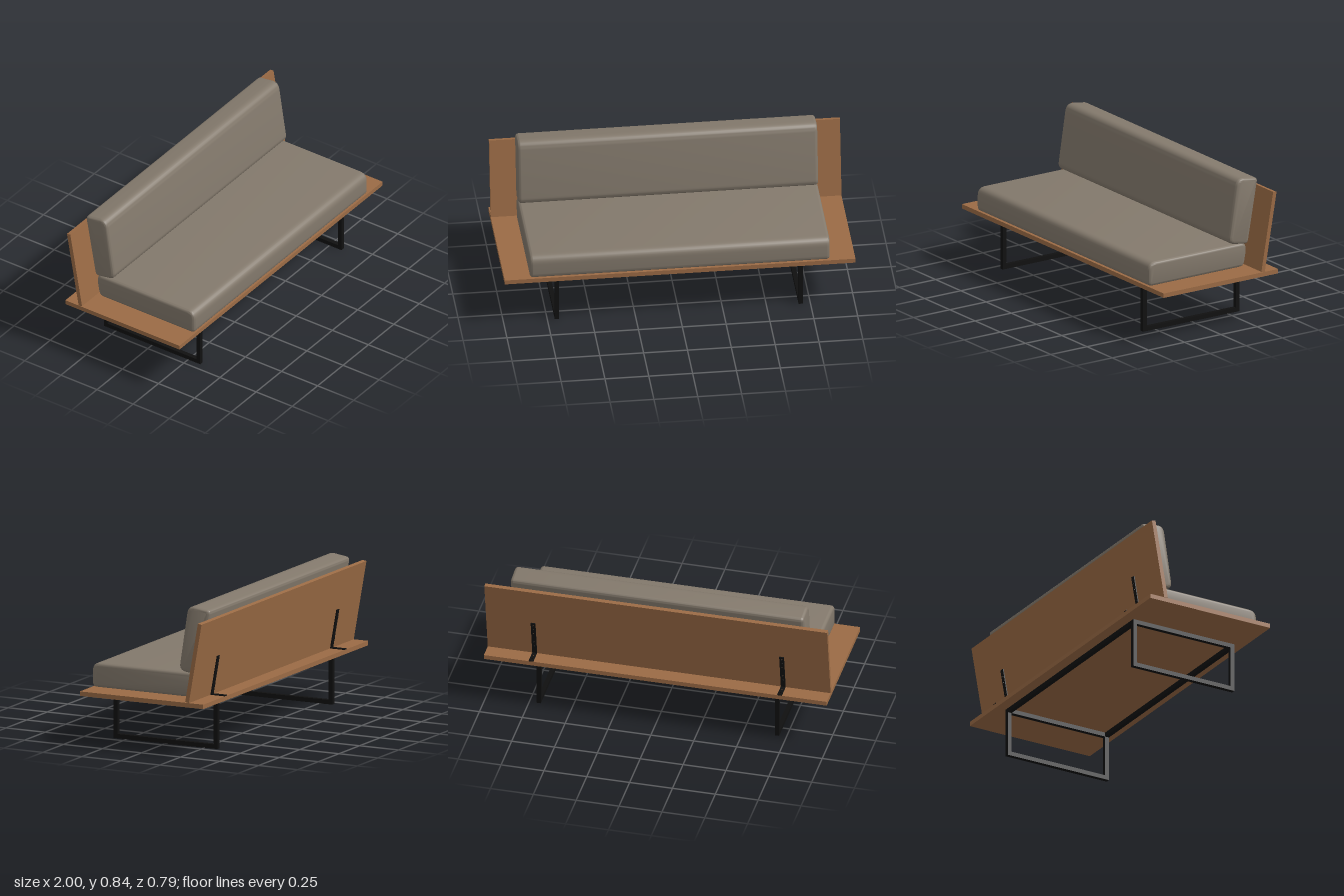
import * as THREE from 'three';
import { toCreasedNormals } from 'three/addons/utils/BufferGeometryUtils.js';

const material = (name, color) => {
  const m = new THREE.MeshStandardMaterial({ color });
  m.name = name;
  return m;
};

function add(parent, name, geometry, mat, x = 0, y = 0, z = 0) {
  const mesh = new THREE.Mesh(geometry, mat);
  mesh.name = name;
  mesh.position.set(x, y, z);
  parent.add(mesh);
  return mesh;
}

const box = (w, h, d) => new THREE.BoxGeometry(w, h, d);

// Closed shape from corners [x, y, radius], each corner rounded off
function roundedShape(corners) {
  const shape = new THREE.Shape();
  const n = corners.length;
  const points = corners.map(([x, y]) => new THREE.Vector2(x, y));
  const toward = (a, b, r) => a.clone().add(b.clone().sub(a).setLength(r));
  points.forEach((p, i) => {
    const r = corners[i][2];
    const start = toward(p, points[(i + n - 1) % n], r);
    const end = toward(p, points[(i + 1) % n], r);
    if (i === 0) shape.moveTo(start.x, start.y);
    else shape.lineTo(start.x, start.y);
    shape.quadraticCurveTo(p.x, p.y, end.x, end.y);
  });
  shape.closePath();
  return shape;
}

// Cushion: side profile in (z, y) swept across x with soft ends
function cushionGeometry(corners, width) {
  const bevel = 0.018;
  const geo = new THREE.ExtrudeGeometry(roundedShape(corners), {
    depth: width - 2 * bevel, curveSegments: 8,
    bevelEnabled: true, bevelThickness: bevel, bevelSize: bevel, bevelOffset: -bevel, bevelSegments: 5,
  });
  geo.translate(0, 0, bevel - width / 2);
  geo.rotateY(-Math.PI / 2);
  return toCreasedNormals(geo, 0.7);
}

// Flat steel strip standing on y = 0, with screw holes
function stripGeometry(width, length, thickness, holes) {
  const shape = new THREE.Shape();
  shape.moveTo(-width / 2, 0);
  shape.lineTo(width / 2, 0);
  shape.lineTo(width / 2, length);
  shape.lineTo(-width / 2, length);
  shape.closePath();
  for (const y of holes) {
    const hole = new THREE.Path();
    hole.absarc(0, y, 0.005, 0, Math.PI * 2, true);
    shape.holes.push(hole);
  }
  return new THREE.ExtrudeGeometry(shape, { depth: thickness, bevelEnabled: false, curveSegments: 6 });
}

export function createModel() {
  const wood = material('wood', 0x9b6b45);
  const fabric = material('greyBrownFabric', 0x83796c);
  const steel = material('blackSteel', 0x101010);

  const model = new THREE.Group();
  model.name = 'benchSofa';

  // Seat board
  add(model, 'seatBoard', box(2, 0.026, 0.79), wood, 0, 0.304, 0);

  // Leaning back, pivoting on the lower rear edge of the board
  const back = new THREE.Group();
  back.name = 'backrest';
  back.position.set(0, 0.317, -0.303);
  back.rotation.x = -THREE.MathUtils.degToRad(10);
  model.add(back);
  add(back, 'backBoard', box(2, 0.468, 0.024), wood, 0, 0.234, 0.012);

  // Cushions
  add(model, 'seatCushion', cushionGeometry([
    [0.395, 0.317, 0.03], [-0.264, 0.317, 0.028], [-0.28, 0.4, 0.015],
    [-0.279, 0.458, 0.035], [0.395, 0.458, 0.05],
  ], 1.71), fabric);
  add(model, 'backCushion', cushionGeometry([
    [-0.158, 0.466, 0.042], [-0.292, 0.445, 0.025],
    [-0.361, 0.827, 0.022], [-0.217, 0.848, 0.05],
  ], 1.71), fabric);

  // Angle brackets behind the backrest
  const screw = new THREE.CylinderGeometry(0.006, 0.006, 0.005, 10).rotateX(Math.PI / 2);
  for (const side of [-1, 1]) {
    const x = side * 0.725;
    add(back, 'bracketUpright', stripGeometry(0.027, 0.232, 0.006, [0.09, 0.155, 0.215]), steel, x, 0, -0.006);
    for (const y of [0.057, 0.185]) add(back, 'bracketScrew', screw, steel, x, y, -0.0085);
    const foot = add(model, 'bracketFoot', stripGeometry(0.027, 0.092, 0.005, [0.035, 0.07]), steel, x, 0.322, -0.303);
    foot.rotation.x = -Math.PI / 2;
    foot.position.y = 0.317;
  }

  // Steel base: a rectangular loop at each end, joined by long rails
  const t = 0.025, halfDepth = 0.333, height = 0.291, legX = 0.695;
  for (const side of [-1, 1]) {
    const loop = new THREE.Group();
    loop.name = 'legFrame';
    loop.position.x = side * legX;
    model.add(loop);
    for (const end of [-1, 1])
      add(loop, 'leg', box(t, height, t), steel, 0, height / 2, end * (halfDepth - t / 2));
    for (const y of [t / 2, height - t / 2])
      add(loop, 'legCrossbar', box(t, t, 2 * (halfDepth - t)), steel, 0, y, 0);
    add(model, 'longRail', box(2 * legX - t, t, t), steel, 0, height - t / 2, side * (halfDepth - t / 2));
  }
  return model;
}
